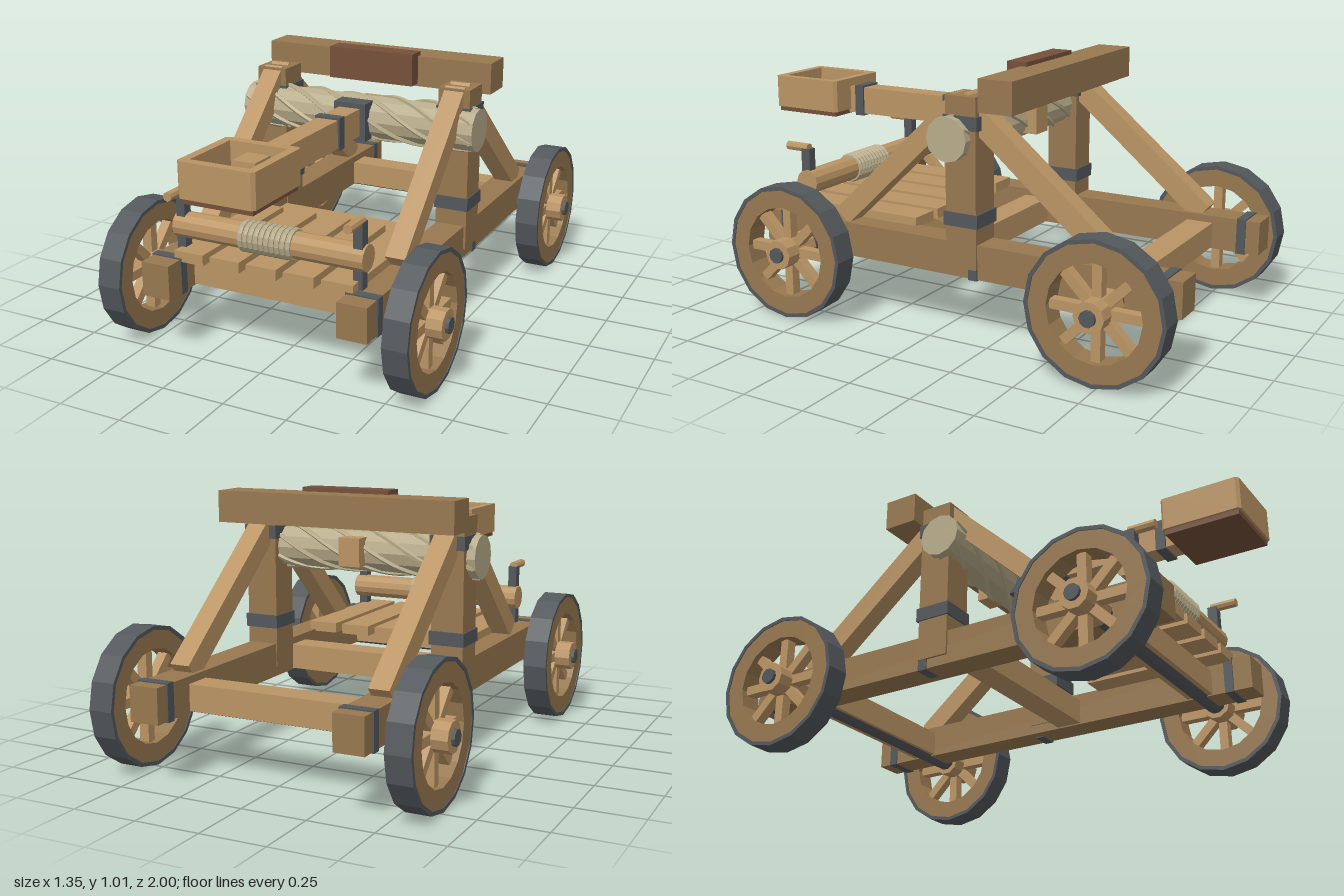
import * as THREE from 'three';

const mat = (color) => new THREE.MeshStandardMaterial({ color, flatShading: true });

export function createModel() {
  const root = new THREE.Group();
  const wood = mat(0xba9464), beamWood = mat(0x977850), darkWood = mat(0x74503a);
  const iron = mat(0x53585c), rope = mat(0xb8ac8a);

  const add = (name, geo, material, parent = root) => {
    const m = new THREE.Mesh(geo, material);
    m.name = name;
    parent.add(m);
    return m;
  };
  // Box from its lower and upper bounds
  const box = (name, material, [x0, x1], [y0, y1], [z0, z1], parent = root) => {
    const m = add(name, new THREE.BoxGeometry(x1 - x0, y1 - y0, z1 - z0), material, parent);
    m.position.set((x0 + x1) / 2, (y0 + y1) / 2, (z0 + z1) / 2);
    return m;
  };
  // Cylinder lying along x
  const rod = (name, material, r, [x0, x1], y, z, sides = 12, parent = root) => {
    const g = new THREE.CylinderGeometry(r, r, x1 - x0, sides).rotateZ(Math.PI / 2);
    const m = add(name, g, material, parent);
    m.position.set((x0 + x1) / 2, y, z);
    return m;
  };
  // Ring about x with a rectangular section
  const ring = (name, material, r0, r1, w, parent) => {
    const pts = [[r0, -w], [r1, -w], [r1, w], [r0, w], [r0, -w]].map(([r, h]) => new THREE.Vector2(r, h / 2));
    return add(name, new THREE.LatheGeometry(pts, 16).rotateZ(Math.PI / 2), material, parent);
  };
  // Sloping timber in the y-z plane
  const brace = (name, x, [y0, z0], [y1, z1], w, t) => {
    const m = add(name, new THREE.BoxGeometry(w, t, Math.hypot(y1 - y0, z1 - z0)), wood);
    m.position.set(x, (y0 + y1) / 2, (z0 + z1) / 2);
    m.rotation.x = -Math.atan2(y1 - y0, z1 - z0);
  };

  // Wheels and axles
  for (const z of [0.59, -0.735]) {
    rod('axle', iron, 0.04, [-0.51, 0.51], 0.267, z, 10);
    for (const s of [-1, 1]) {
      const wheel = new THREE.Group();
      wheel.name = 'wheel';
      wheel.position.set(s * 0.578, 0.265, z);
      ring('tyre', iron, 0.25, 0.265, 0.095, wheel);
      ring('rim', beamWood, 0.18, 0.253, 0.088, wheel);
      rod('hub', wood, 0.058, [-0.082, 0.082], 0, 0, 10, wheel);
      rod('axleCap', iron, 0.03, [-0.095, 0.095], 0, 0, 10, wheel);
      for (let i = 0; i < 8; i++) {
        const a = (i * Math.PI) / 4;
        const spoke = add('spoke', new THREE.BoxGeometry(0.04, 0.15, 0.036), wood, wheel);
        spoke.position.set(0, Math.cos(a) * 0.12, Math.sin(a) * 0.12);
        spoke.rotation.x = a;
      }
      root.add(wheel);
    }
  }

  // Cross beams and deck planks
  for (const z of [0.59, 0, -0.74])
    box('crossBeam', wood, [-0.35, 0.35], [0.245, 0.345], [z - 0.053, z + 0.053]);
  for (let i = -2; i <= 2; i++)
    box('deckPlank', wood, [i * 0.152 - 0.061, i * 0.152 + 0.061], [0.365, 0.406], [0.145, 0.73]);

  // Side frames
  for (const s of [-1, 1]) {
    const span = (a, b) => (s > 0 ? [a, b] : [-b, -a]);
    box('sideRail', beamWood, span(0.341, 0.457), [0.24, 0.373], [-0.985, 0.808]);
    for (const z of [0.715, -0.912])
      box('railBand', iron, span(0.336, 0.463), [0.236, 0.378], [z - 0.018, z + 0.018]);
    box('upright', beamWood, span(0.337, 0.466), [0.277, 0.922], [-0.185, -0.057]);
    for (const y of [0.463, 0.825])
      box('uprightBand', iron, span(0.331, 0.472), [y - 0.026, y + 0.026], [-0.194, -0.05]);
    box('uprightStrap', iron, span(0.38, 0.462), [0.235, 0.28], [-0.185, -0.148]);
    brace('frontBrace', s * 0.4, [0.9, -0.1], [0.39, 0.44], 0.08, 0.078);
    brace('rearBrace', s * 0.4, [0.9, -0.1], [0.37, -0.74], 0.08, 0.085);
  }

  // Stop bar with its pad
  box('stopBar', beamWood, [-0.492, 0.492], [0.875, 0.997], [-0.348, -0.21]);
  box('stopPad', darkWood, [-0.183, 0.183], [0.886, 1.013], [-0.235, -0.152]);

  // Twisted rope bundle
  const bundle = new THREE.Group();
  bundle.name = 'ropeBundle';
  bundle.position.set(0, 0.765, -0.08);
  root.add(bundle);
  rod('bundleCore', rope, 0.085, [-0.5, 0.5], 0, 0, 12, bundle);
  for (let k = 0; k < 6; k++) {
    const pts = [];
    for (let i = 0; i <= 16; i++) {
      const t = i / 16, a = (k / 6 + t) * Math.PI * 2;
      const r = 0.08 + 0.006 * Math.abs(Math.sin(t * Math.PI * 2));
      pts.push(new THREE.Vector3(t * 0.98 - 0.49, Math.cos(a) * r, Math.sin(a) * r));
    }
    add('ropeStrand', new THREE.TubeGeometry(new THREE.CatmullRomCurve3(pts), 32, 0.01, 5), rope, bundle);
  }

  // Throwing arm and bands
  box('throwingArm', wood, [-0.045, 0.045], [0.712, 0.822], [-0.205, 0.82]);
  for (const z of [0.2, 0.635])
    box('armBand', iron, [-0.053, 0.053], [0.704, 0.83], [z - 0.02, z + 0.02]);
  box('armCollar', iron, [-0.068, 0.068], [0.69, 0.842], [-0.04, 0.035]);

  // Bucket: open frame on a floor board
  const wall = new THREE.Shape();
  const c = 0.012, hx = 0.149, hz = 0.158;
  [[-hx + c, -hz], [hx - c, -hz], [hx, -hz + c], [hx, hz - c], [hx - c, hz], [-hx + c, hz], [-hx, hz - c], [-hx, -hz + c]]
    .forEach(([x, y], i) => (i ? wall.lineTo(x, y) : wall.moveTo(x, y)));
  const hole = new THREE.Path();
  hole.moveTo(-0.115, -0.123).lineTo(-0.115, 0.123).lineTo(0.115, 0.123).lineTo(0.115, -0.123);
  wall.holes.push(hole);
  const frame = new THREE.ExtrudeGeometry(wall, { depth: 0.13, bevelEnabled: false }).rotateX(-Math.PI / 2);
  add('bucketWalls', frame, wood).position.set(0, 0.726, 0.842);
  box('bucketFloor', darkWood, [-0.138, 0.138], [0.706, 0.738], [0.695, 0.99]);

  // Winch drum, rope coils and cranks
  rod('winchDrum', wood, 0.05, [-0.388, 0.388], 0.485, 0.655, 12);
  for (let i = 0; i < 10; i++) {
    const coil = add('ropeCoil', new THREE.TorusGeometry(0.051, 0.011, 6, 14).rotateY(Math.PI / 2), rope);
    coil.position.set((i - 4.5) * 0.0218, 0.485, 0.655);
  }
  for (const s of [-1, 1]) {
    box('crankArm', iron, [s * 0.362 - 0.018, s * 0.362 + 0.018], [0.37, 0.62], [0.645, 0.685]);
    const grip = add('crankHandle', new THREE.CylinderGeometry(0.018, 0.018, 0.105, 8).rotateX(Math.PI / 2), wood);
    grip.position.set(s * 0.362, 0.622, 0.71);
  }
  return root;
}
